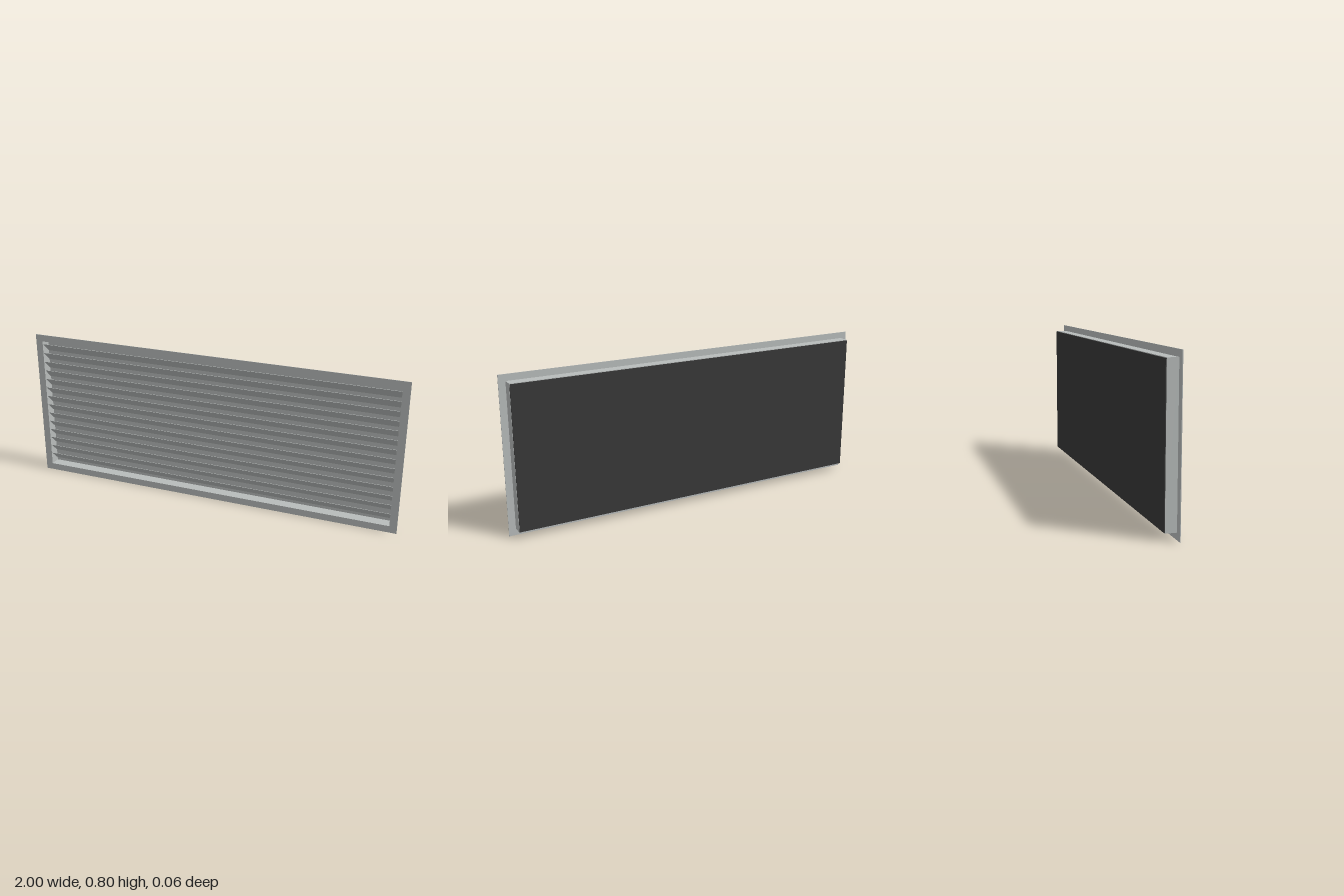
import * as THREE from 'three';

export function createModel() {
  const model = new THREE.Group();
  model.name = 'louvredVentGrille';

  const metal = new THREE.MeshStandardMaterial({ color: 0xb8bcbb });
  metal.name = 'paleGreyMetal';
  const dark = new THREE.MeshStandardMaterial({ color: 0x383838 });
  dark.name = 'darkBacking';

  const midY = 0.4;

  // Rectangular ring centred on the grille, extruded from z0 to z1
  function ring(name, halfW, halfH, innerW, innerH, z0, z1) {
    const rect = (path, w, h) =>
      path.moveTo(-w, -h).lineTo(w, -h).lineTo(w, h).lineTo(-w, h).closePath();
    const shape = rect(new THREE.Shape(), halfW, halfH);
    shape.holes.push(rect(new THREE.Path(), innerW, innerH));
    const geo = new THREE.ExtrudeGeometry(shape, { depth: z1 - z0, bevelEnabled: false });
    const mesh = new THREE.Mesh(geo, metal);
    mesh.name = name;
    mesh.position.set(0, midY, z0);
    model.add(mesh);
  }

  function plate(name, w, h, z0, z1, material) {
    const mesh = new THREE.Mesh(new THREE.BoxGeometry(w, h, z1 - z0), material);
    mesh.name = name;
    mesh.position.set(0, midY, (z0 + z1) / 2);
    model.add(mesh);
  }

  // Thin front flange and the shallow duct collar behind it
  ring('frontFlange', 1, 0.4, 0.962, 0.364, 0.0275, 0.0305);
  ring('ductCollar', 0.965, 0.367, 0.962, 0.364, -0.0265, 0.0275);

  // Pale inner panel and dark rear panel
  plate('innerPanel', 1.924, 0.728, -0.0262, -0.025, metal);
  plate('rearPanel', 1.928, 0.728, -0.0305, -0.0262, dark);

  // Slanted blades: front edge high, rear edge low
  const blades = new THREE.Group();
  blades.name = 'louvreBlades';
  const count = 14, pitch = 0.0497, drop = 0.048, depth = 0.048, thick = 0.002;
  const bladeGeo = new THREE.BoxGeometry(1.924, thick, Math.hypot(drop, depth));
  for (let i = 0; i < count; i++) {
    const blade = new THREE.Mesh(bladeGeo, metal);
    blade.name = 'louvreBlade';
    blade.rotation.x = -Math.atan2(drop, depth);
    blade.position.set(0, midY + (i - (count - 1) / 2) * pitch, 0.001);
    blades.add(blade);
  }
  model.add(blades);

  return model;
}
